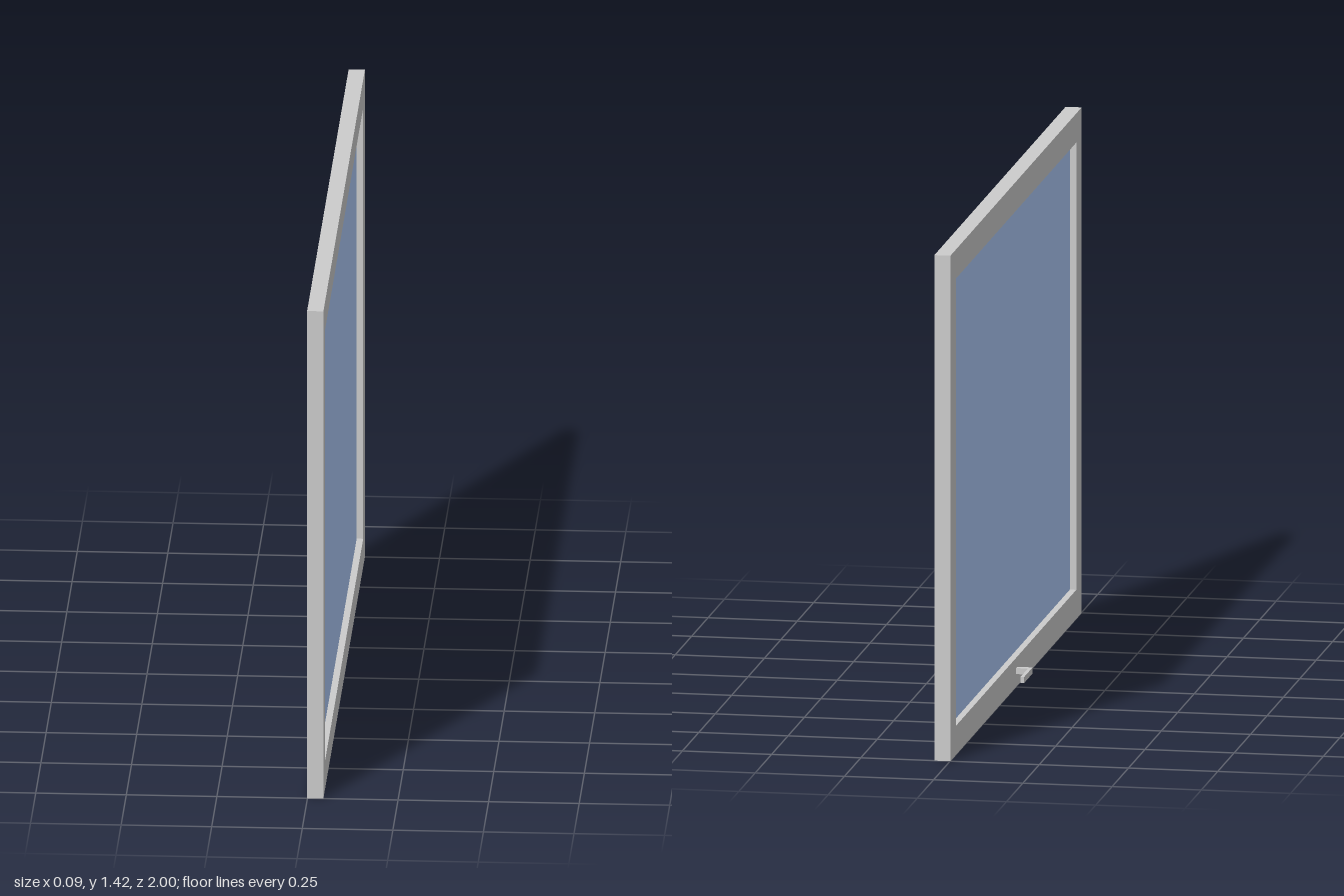
import * as THREE from 'three';

const HEIGHT = 1.424, LENGTH = 2, BORDER = 0.082;
const BACK = -0.001, FRONT = 0.044; // frame faces along x

function rectangle(path, halfWidth, bottom, top) {
  path.moveTo(-halfWidth, bottom);
  path.lineTo(halfWidth, bottom);
  path.lineTo(halfWidth, top);
  path.lineTo(-halfWidth, top);
  path.closePath();
  return path;
}

// Extrudes a (z, y) shape along x, starting at x0
function extrudeAlongX(shape, x0, depth) {
  const geometry = new THREE.ExtrudeGeometry(shape, { depth, bevelEnabled: false });
  geometry.rotateY(Math.PI / 2);
  geometry.translate(x0, 0, 0);
  return geometry;
}

export function createModel() {
  const model = new THREE.Group();
  model.name = 'window';
  const grey = new THREE.MeshStandardMaterial({ color: 0xcccccc });
  const blue = new THREE.MeshStandardMaterial({ color: 0xadcaf7 });

  const add = (name, geometry, material, parent = model) => {
    const mesh = new THREE.Mesh(geometry, material);
    mesh.name = name;
    parent.add(mesh);
    return mesh;
  };

  // Frame: one rectangular ring
  const outline = rectangle(new THREE.Shape(), LENGTH / 2, 0, HEIGHT);
  outline.holes.push(rectangle(new THREE.Path(), LENGTH / 2 - BORDER, BORDER, HEIGHT - BORDER));
  add('frame', extrudeAlongX(outline, BACK, FRONT - BACK), grey);

  // Glass pane, recessed equally on both sides
  const pane = new THREE.BoxGeometry(0.009, HEIGHT - 2 * BORDER, LENGTH - 2 * BORDER);
  add('glass', pane, blue).position.set((BACK + FRONT) / 2, HEIGHT / 2, 0);

  // L-shaped handle on the bottom rail, lever pointing to -z
  const profile = new THREE.Shape([
    [BACK, -0.019], [-0.044, -0.019], [-0.044, 0.113],
    [-0.034, 0.113], [-0.034, -0.002], [BACK, -0.002],
  ].map(([x, y]) => new THREE.Vector2(x, y)));
  const handle = new THREE.ExtrudeGeometry(profile, { depth: 0.017, bevelEnabled: false });
  handle.rotateX(-Math.PI / 2);
  add('handle', handle, grey).position.y = 0.036;

  return model;
}
